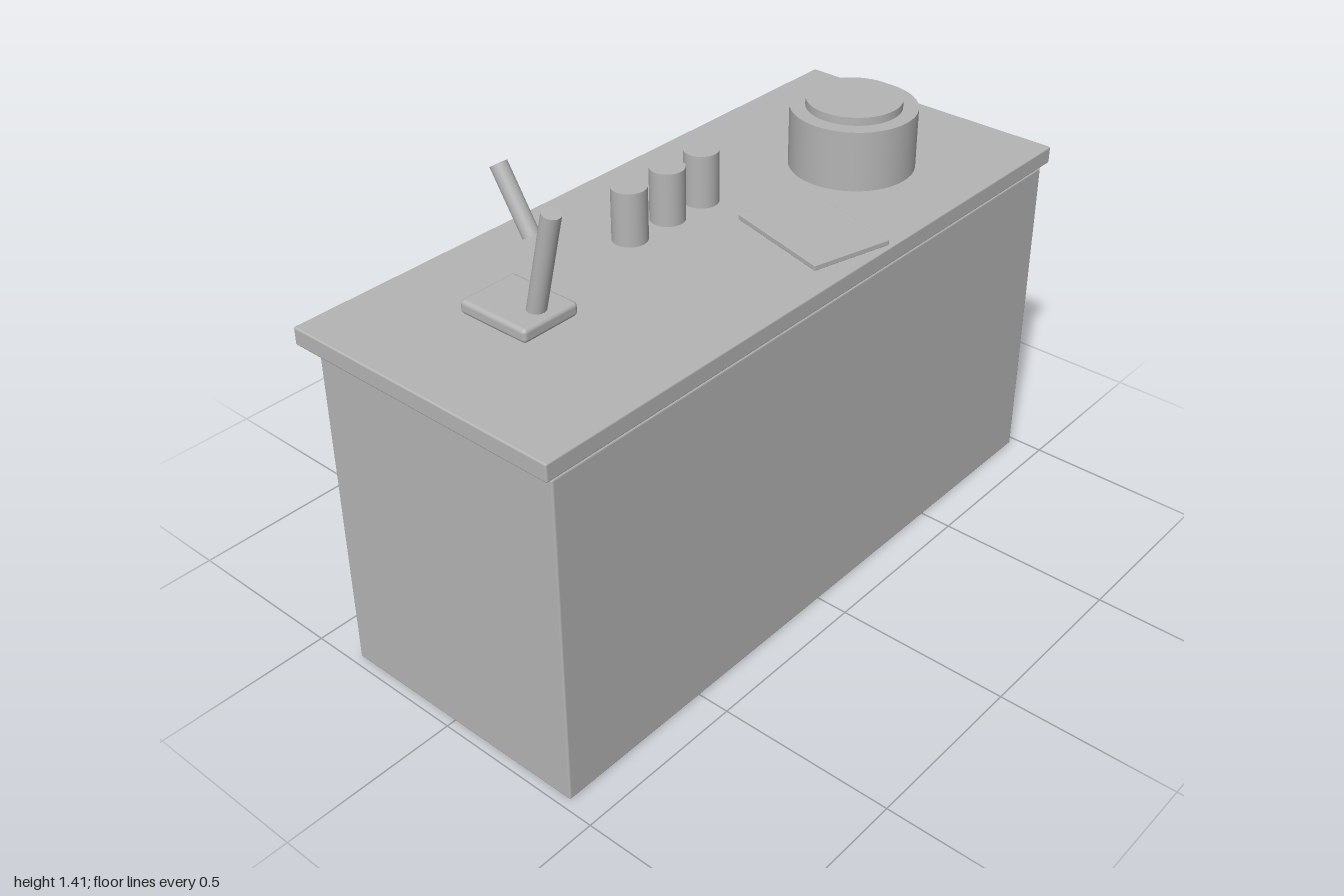
import * as THREE from 'three';
import { RoundedBoxGeometry } from 'three/addons/geometries/RoundedBoxGeometry.js';

export function createModel() {
  const model = new THREE.Group();
  model.name = 'labBench';
  const grey = new THREE.MeshStandardMaterial({ name: 'grey', color: 0xb4b4b4 });

  const add = (name, geometry, x, y, z) => {
    const mesh = new THREE.Mesh(geometry, grey);
    mesh.name = name;
    mesh.position.set(x, y, z);
    model.add(mesh);
    return mesh;
  };

  // Box with softened edges, given by its centre in x and z and its vertical span
  const slab = (name, w, d, y0, y1, x, z, bevel) =>
    add(name, new RoundedBoxGeometry(w, y1 - y0, d, 2, bevel), x, (y0 + y1) / 2, z);

  // Upright cylinder given by its vertical span
  const drum = (name, r, y0, y1, x, z, sides = 32) =>
    add(name, new THREE.CylinderGeometry(r, r, y1 - y0, sides), x, (y0 + y1) / 2, z);

  // Cylinder running between two points
  const rod = (name, r, from, to) => {
    const dir = to.clone().sub(from);
    const mid = from.clone().add(to).multiplyScalar(0.5);
    const mesh = add(name, new THREE.CylinderGeometry(r, r, dir.length(), 24), mid.x, mid.y, mid.z);
    mesh.quaternion.setFromUnitVectors(new THREE.Vector3(0, 1, 0), dir.normalize());
  };

  // Cabinet and worktop, with a narrow shadow gap between them
  const top = 1.017;
  slab('cabinet', 1.95, 0.775, 0.003, 0.957, 0, 0.022, 0.006);
  slab('worktop', 2, 0.84, 0.967, top, 0, 0, 0.005);

  // Four doors with upright handles on the back
  for (let i = 0; i < 4; i++) {
    const x = 0.735 - i * 0.49;
    slab('door', 0.45, 0.022, 0.06, 0.9, x, -0.366, 0.005);
    slab('handle', 0.03, 0.02, 0.705, 0.838, x + 0.18, -0.378, 0.004);
  }

  // Microscope: base, leaning arm and eyepiece tube
  const mx = -0.614;
  slab('microscopeBase', 0.179, 0.222, top, 1.056, mx, -0.057, 0.012);
  rod('microscopeArm', 0.025, new THREE.Vector3(mx, 1.04, 0), new THREE.Vector3(mx, 1.333, 0.071));
  rod('microscopeTube', 0.022, new THREE.Vector3(mx, 1.251, 0.001), new THREE.Vector3(mx, 1.404, -0.0945));

  // Row of three jars
  for (const x of [-0.168, -0.024, 0.11]) drum('jar', 0.048, top, 1.168, x, -0.112);

  // Notebook lying at an angle
  slab('notebook', 0.237, 0.329, top, 1.032, 0.164, 0.22, 0.002).rotation.y = -0.262;

  // Round centrifuge with a lid
  drum('centrifugeBody', 0.176, top, 1.19, 0.553, 0.054, 48);
  drum('centrifugeLid', 0.133, 1.18, 1.213, 0.553, 0.054, 48);

  return model;
}
